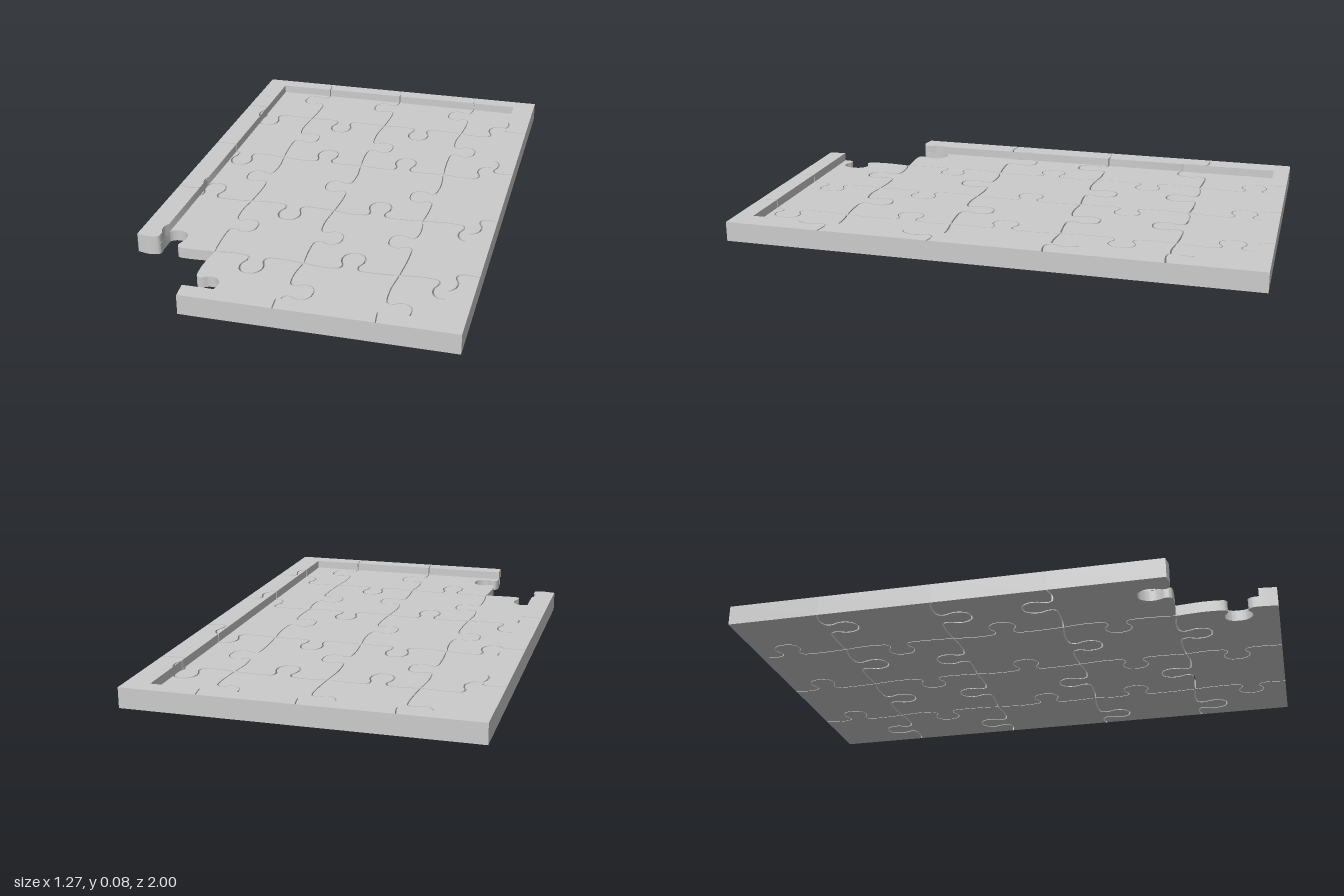
import * as THREE from 'three';
import { toCreasedNormals } from 'three/addons/utils/BufferGeometryUtils.js';

const RIM_H = 0.075, FLOOR_H = 0.042;
const INNER = { x0: -0.55, x1: 0.545, z0: -0.937, z1: 0.933 };
const COLS = 4, ROWS = 5;

// Grid nodes where the seams meet, slightly uneven
const NODE_X = [-0.635, -0.335, 0.002, 0.352, 0.635];
const NODE_Z = [-1, -0.65, -0.217, 0.21, 0.632, 1];

// Tabs on the seams running across: [x of tab, direction along z], per seam and column
const ACROSS = [
  [[-0.518, 1], [-0.18, 1], [0.172, 1], [0.51, -1]],
  [[-0.5, 1], [-0.158, -1], [0.18, -1], [0.527, -1]],
  [[-0.512, -1], [-0.158, 1], [0.17, -1], [0.543, 1]],
  [[-0.515, -1], [-0.17, 1], [0.17, -1], [0.528, 1]],
];
// Tabs on the seams running front to back: [z of tab, direction along x], per seam and row
const ALONG = [
  [[-0.87, -1], [-0.44, 1], [-0.013, -1], [0.41, 1], [0.855, 1]],
  [[-0.86, -1], [-0.415, 1], [0, -1], [0.425, 1], [0.825, 1]],
  [[-0.848, -1], [-0.458, 1], [0.008, -1], [0.39, -1], [0.86, 1]],
];

// Seam from u0 to u1 at height v, with a rounded tab at c pointing to dir
function seamCurve(u0, u1, v, c, dir, width, depth) {
  const half = [[0.05, -0.006], [0.033, 0.004], [0.03, 0.025], [0.041, 0.055], [0.04, 0.085], [0.024, 0.11]];
  const left = half.map(([u, h]) => [c - u * width, h]);
  const right = half.map(([u, h]) => [c + u * width, h]).reverse();
  const pts = [[u0, 0], [(u0 + c) / 2 - 0.02, -0.009], ...left, [c, 0.116],
    ...right, [(u1 + c) / 2 + 0.02, -0.006], [u1, 0]];
  return pts.map(([u, h]) => [u, v + dir * h * (h > 0 ? depth : 1)]);
}

// Sample a seam and push it sideways to leave a narrow gap
function sampleSeam(points, gap) {
  const pts = new THREE.SplineCurve(points.map(([x, z]) => new THREE.Vector2(x, z))).getPoints(75);
  return pts.map((p, i) => {
    const t = pts[Math.min(i + 1, pts.length - 1)].clone().sub(pts[Math.max(i - 1, 0)]).normalize();
    // the ends only move square to the seam's main direction
    if (i === 0 || i === pts.length - 1) {
      if (Math.abs(t.x) > Math.abs(t.y)) t.set(1, 0); else t.set(0, 1);
    }
    return new THREE.Vector2(p.x - t.y * gap, p.y + t.x * gap);
  });
}

function acrossEdge(line, col, side) {
  const u0 = NODE_X[col], u1 = NODE_X[col + 1], z = NODE_Z[line];
  if (line === 0 || line === ROWS) return [new THREE.Vector2(u0, z), new THREE.Vector2(u1, z)];
  const [c, dir] = ACROSS[line - 1][col];
  return sampleSeam(seamCurve(u0, u1, z, c, dir, 1, 1), side * 0.003);
}

function alongEdge(line, row, side) {
  const u0 = NODE_Z[row], u1 = NODE_Z[row + 1], x = NODE_X[line];
  if (line === 0 || line === COLS) return [new THREE.Vector2(x, u0), new THREE.Vector2(x, u1)];
  const [c, dir] = ALONG[line - 1][row];
  const pts = seamCurve(u0, u1, x, c, dir, 1.18, 0.78).map(([u, v]) => [v, u]);
  return sampleSeam(pts, side * 0.002);
}

// Closed outline of one piece
function pieceOutline(col, row) {
  const loop = [
    ...acrossEdge(row, col, 1),
    ...alongEdge(col + 1, row, 1),
    ...acrossEdge(row + 1, col, -1).reverse(),
    ...alongEdge(col, row, -1).reverse(),
  ];
  return loop.filter((p, i) => p.distanceTo(loop[(i + 1) % loop.length]) > 1e-5);
}

// Signed distance to the inner rectangle, negative inside
const inset = (p) => Math.max(INNER.x0 - p.x, p.x - INNER.x1, INNER.z0 - p.y, p.y - INNER.z1);
const onSide = (p) => Math.min(Math.abs(p.x - INNER.x0), Math.abs(p.x - INNER.x1)) < 1e-6;

// Part of an outline inside (sign 1) or outside (sign -1) the inner rectangle
function clip(loop, sign) {
  const keep = (p) => inset(p) * sign < 0;
  const start = loop.findIndex(keep);
  if (start < 0) return [];
  const out = [];
  let exit = null;
  for (let k = 0; k < loop.length; k++) {
    const a = loop[(start + k) % loop.length], b = loop[(start + k + 1) % loop.length];
    if (keep(a)) out.push(a);
    if (keep(a) === keep(b)) continue;
    const da = inset(a), q = a.clone().lerp(b, da / (da - inset(b)));
    if (keep(a)) exit = q;
    else if (onSide(exit) !== onSide(q)) {
      // leaving by one side and returning by the next: turn at the inner corner
      out.push(onSide(exit) ? new THREE.Vector2(exit.x, q.y) : new THREE.Vector2(q.x, exit.y));
    }
    out.push(q);
  }
  return out;
}

function slab(name, loop, height, material) {
  const shape = new THREE.Shape(loop.map((p) => new THREE.Vector2(p.x, -p.y)));
  const geometry = new THREE.ExtrudeGeometry(shape, { depth: height, bevelEnabled: false });
  geometry.rotateX(-Math.PI / 2);
  const mesh = new THREE.Mesh(toCreasedNormals(geometry, 0.6), material);
  mesh.name = name;
  return mesh;
}

export function createModel() {
  const model = new THREE.Group();
  model.name = 'puzzleTray';
  const material = new THREE.MeshStandardMaterial({ color: 0xcccccc });

  for (let row = 0; row < ROWS; row++) {
    for (let col = 0; col < COLS; col++) {
      if (row === ROWS - 1 && col === 0) continue; // the missing corner piece
      const piece = new THREE.Group();
      piece.name = `puzzlePiece_row${row + 1}_column${col + 1}`;
      const outline = pieceOutline(col, row);

      // Low tray floor, and the raised rim on the border pieces
      const floor = clip(outline, 1), rim = clip(outline, -1);
      if (floor.length > 2) piece.add(slab('floor', floor, FLOOR_H, material));
      if (rim.length > 2) piece.add(slab('rim', rim, RIM_H, material));
      model.add(piece);
    }
  }
  return model;
}
